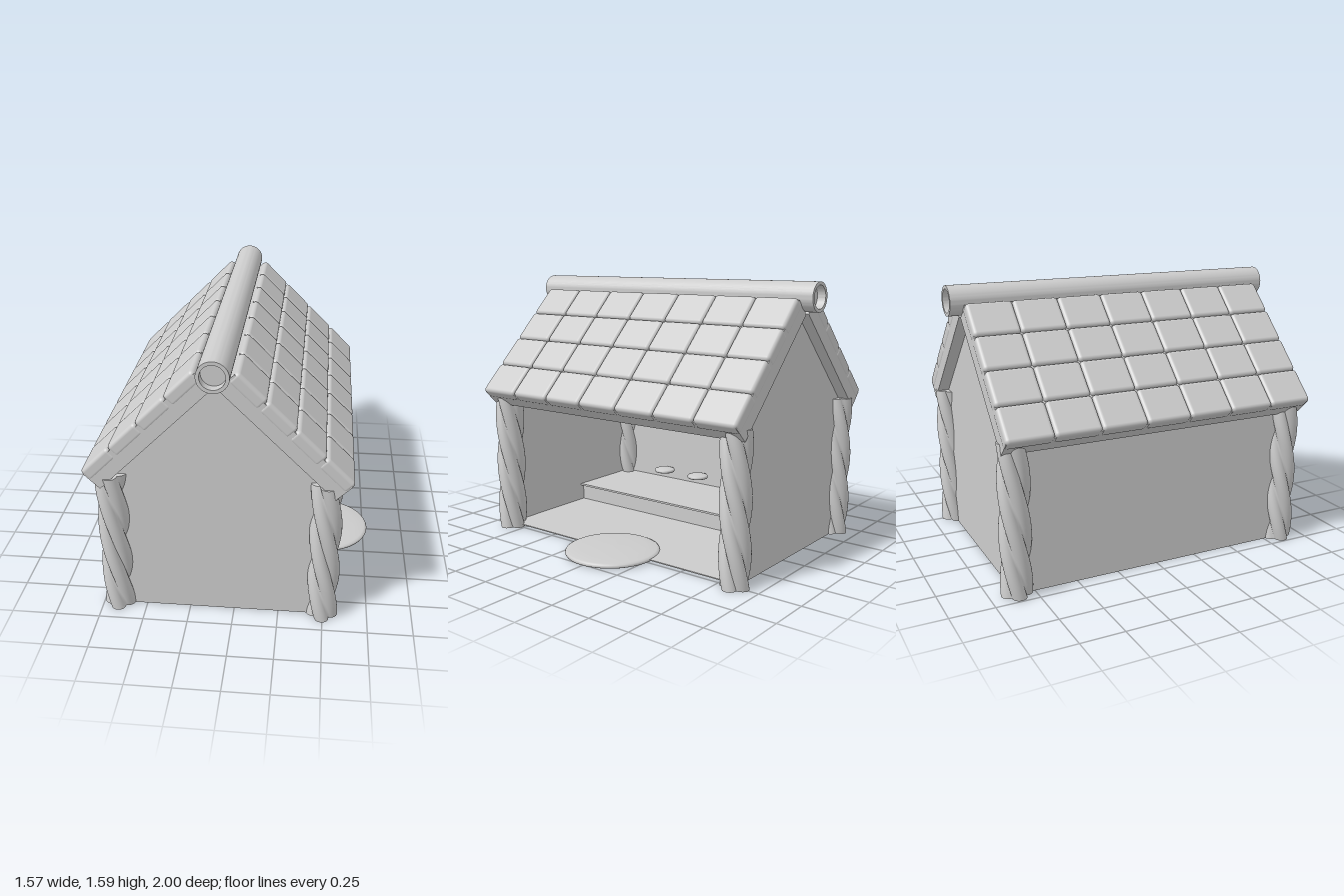
import * as THREE from 'three';
import { toCreasedNormals } from 'three/addons/utils/BufferGeometryUtils.js';
import { RoundedBoxGeometry } from 'three/addons/geometries/RoundedBoxGeometry.js';

const mat = new THREE.MeshStandardMaterial({ color: 0xcccccc });
const matDouble = new THREE.MeshStandardMaterial({ color: 0xcccccc, side: THREE.DoubleSide });

const CX = -0.08;                 // centre line of the house
const HALF_X = 0.577, HALF_Z = 0.85;
const APEX = 1.42;                // underside of the roof at the ridge
const POST_H = 0.86;

function add(parent, name, geometry, x = 0, y = 0, z = 0, material = mat) {
  const mesh = new THREE.Mesh(geometry, material);
  mesh.name = name;
  mesh.position.set(x, y, z);
  parent.add(mesh);
  return mesh;
}

// Box given by its limits
function addBox(parent, name, x0, x1, y0, y1, z0, z1) {
  return add(parent, name, new THREE.BoxGeometry(x1 - x0, y1 - y0, z1 - z0),
    (x0 + x1) / 2, (y0 + y1) / 2, (z0 + z1) / 2);
}

// Four round strands twisted together, as one lobed cylinder
function twistedPost() {
  const offset = 0.047, strand = 0.041, quarter = Math.PI / 2, twist = 5.4;
  const g = new THREE.CylinderGeometry(1, 1, POST_H, 48, 36);
  const p = g.attributes.position;
  for (let i = 0; i < p.count; i++) {
    const x = p.getX(i), z = p.getZ(i), y = p.getY(i);
    if (Math.hypot(x, z) < 0.5) continue;
    const a = Math.atan2(z, x) + 2 * Math.PI;
    const phi = ((a + 1e-6) % quarter) - quarter / 2;
    const r = offset * Math.cos(phi) + Math.sqrt(strand ** 2 - (offset * Math.sin(phi)) ** 2);
    const b = a + twist * y;
    p.setXYZ(i, r * Math.cos(b), y, r * Math.sin(b));
  }
  g.computeVertexNormals();
  return g;
}

// Low domed disc with a hollow underside
function domedDisc() {
  const profile = [[0, 0.022], [0.2, 0.014], [0.265, 0.003], [0.276, 0.008], [0.28, 0.016],
    [0.275, 0.025], [0.262, 0.031], [0.2, 0.038], [0.1, 0.043], [0, 0.045]];
  return new THREE.LatheGeometry(profile.map(([r, y]) => new THREE.Vector2(r, y)), 40);
}

// One roof slope: slab with rows of cushioned tiles; local x runs down the slope
function roofSide(name) {
  const side = new THREE.Group();
  side.name = name;
  const start = 0.02, end = 0.88, rows = 4, cols = 7, halfZ = 0.93;
  addBox(side, 'roofSlab', start, end - 0.005, 0, 0.118, -halfZ + 0.003, halfZ - 0.003);
  const dx = (end - start) / rows, dz = 2 * halfZ / cols;
  const tile = new RoundedBoxGeometry(dx, 0.08, dz, 3, 0.022);
  for (let r = 0; r < rows; r++) {
    for (let c = 0; c < cols; c++) {
      add(side, 'roofTile', tile, start + (r + 0.5) * dx, 0.102, -halfZ + (c + 0.5) * dz);
    }
  }
  return side;
}

export function createModel() {
  const house = new THREE.Group();
  house.name = 'house';
  const left = CX + HALF_X, right = CX - HALF_X;

  // Thin floor, slightly raised
  addBox(house, 'floor', right, left, 0.014, 0.02, -HALF_Z, HALF_Z);

  // Gable walls at both ends
  const eave = APEX - HALF_X;
  const gable = new THREE.Shape([
    new THREE.Vector2(right, 0), new THREE.Vector2(left, 0), new THREE.Vector2(left, eave),
    new THREE.Vector2(CX, APEX), new THREE.Vector2(right, eave)]);
  const gableGeo = new THREE.ExtrudeGeometry(gable, { depth: 0.01, bevelEnabled: false });
  add(house, 'frontWall', gableGeo, 0, 0, HALF_Z);
  add(house, 'backWall', gableGeo, 0, 0, -HALF_Z - 0.01);

  // Long wall on the closed side
  addBox(house, 'sideWall', right - 0.01, right, 0, eave, -HALF_Z, HALF_Z);

  // Corner posts
  const post = twistedPost();
  for (const x of [right, left]) {
    for (const z of [-HALF_Z, HALF_Z]) add(house, 'cornerPost', post, x, POST_H / 2, z);
  }

  // Roof, one slope turned about to make the other
  const leftRoof = roofSide('leftRoof');
  leftRoof.position.set(CX, APEX, 0);
  leftRoof.rotation.z = -Math.PI / 4;
  const rightRoof = roofSide('rightRoof');
  rightRoof.position.set(CX, APEX, 0);
  rightRoof.rotation.set(0, Math.PI, -Math.PI / 4);
  house.add(leftRoof, rightRoof);

  // Ridge pipe with recessed ends
  const ring = new THREE.Shape().absarc(0, 0, 0.084, 0, Math.PI * 2);
  ring.holes.push(new THREE.Path().absarc(0, 0, 0.065, 0, Math.PI * 2, true));
  const pipe = new THREE.ExtrudeGeometry(ring, { depth: 2, bevelEnabled: false, curveSegments: 32 });
  add(house, 'ridgePipe', toCreasedNormals(pipe, 0.6), CX, 1.502, -1);
  const core = new THREE.CylinderGeometry(0.066, 0.066, 1.9, 32).rotateX(Math.PI / 2);
  add(house, 'ridgePipeCore', core, CX, 1.502, 0);

  // Bench along the closed wall
  addBox(house, 'benchBody', right, -0.17, 0.02, 0.12, -HALF_Z, HALF_Z);
  addBox(house, 'benchTop', right, -0.145, 0.12, 0.132, -HALF_Z, HALF_Z);

  // Doorstep disc and small discs above the bench
  const disc = domedDisc();
  add(house, 'doorstep', disc, left, 0, 0, matDouble);
  for (let i = 0; i < 4; i++) {
    const small = add(house, 'smallDisc', disc, -0.57, 0.198, -0.43 + i * 0.287, matDouble);
    small.scale.set(0.25, 0.7, 0.25);
  }
  return house;
}
